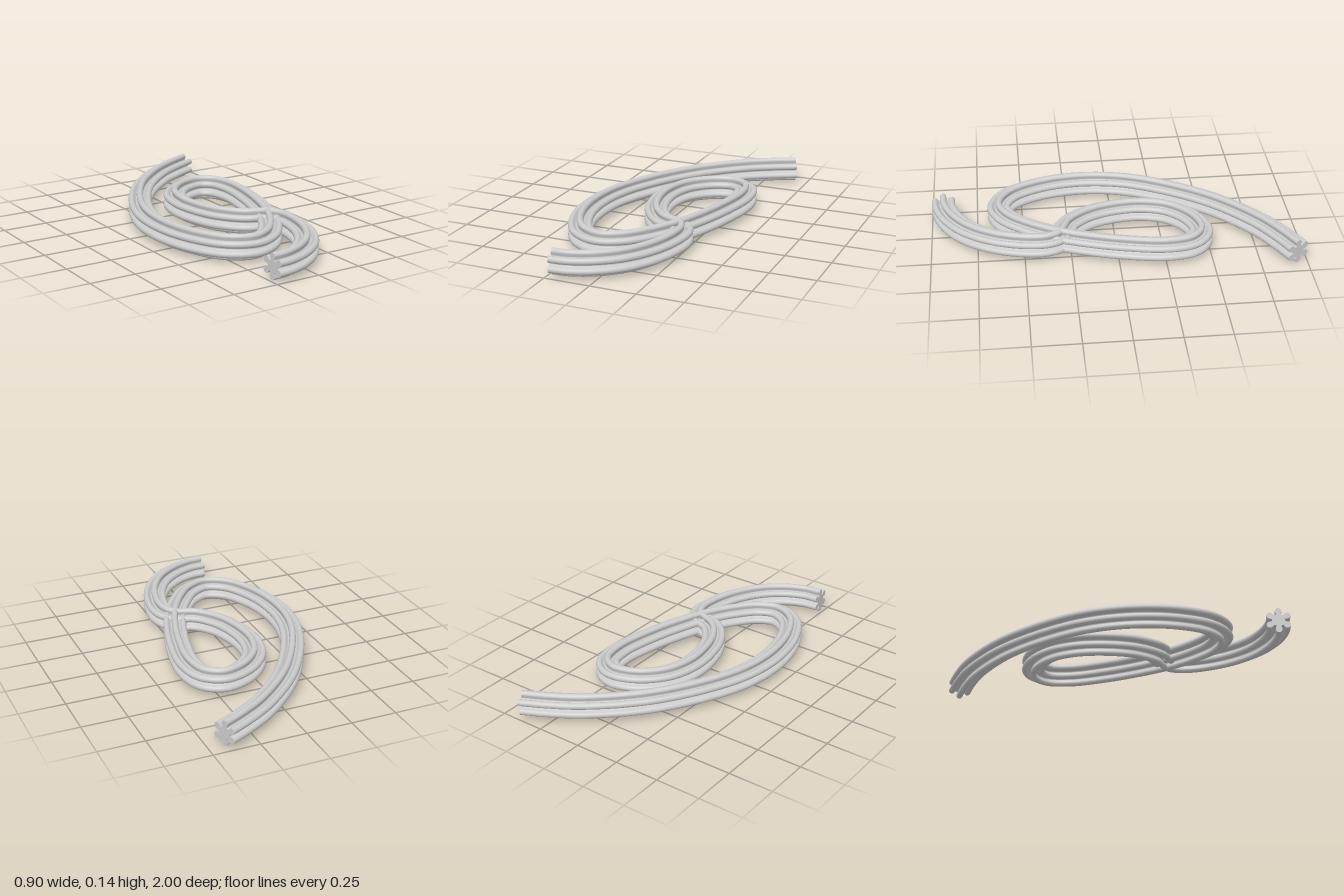
import * as THREE from 'three';

const MID = 0.071; // height of the centreline

// Centreline on the ground plane as [x, z]
const PATH = [
  [-0.235, 0.936], [-0.15, 0.928], [-0.04, 0.885], [0.08, 0.79], [0.175, 0.64], [0.222, 0.47],
  [0.22, 0.37], [0.185, 0.305], [0.13, 0.28], [0.07, 0.252], [-0.02, 0.14], [-0.07, -0.02],
  [-0.075, -0.17], [-0.03, -0.31], [0.08, -0.42], [0.21, -0.456], [0.295, -0.4], [0.325, -0.26],
  [0.29, -0.03], [0.225, 0.19], [0.165, 0.335], [0.08, 0.475], [-0.02, 0.585], [-0.13, 0.628],
  [-0.25, 0.57], [-0.345, 0.4], [-0.385, 0.18], [-0.362, -0.05], [-0.27, -0.285], [-0.09, -0.565],
  [0.14, -0.785], [0.29, -0.88], [0.418, -0.945],
];

// Six-lobed outline: round lobes alternating with round grooves
function lobedProfile() {
  const points = [];
  const arc = (dir, dist, radius, from, to, steps) => {
    for (let i = 0; i <= steps; i++) {
      const a = dir + from + ((to - from) * i) / steps;
      points.push([
        Math.cos(dir) * dist + Math.cos(a) * radius,
        Math.sin(dir) * dist + Math.sin(a) * radius,
      ]);
    }
  };
  for (let k = 0; k < 6; k++) {
    const dir = Math.PI / 6 + (k * Math.PI) / 3;
    arc(dir, 0.053, 0.018, -1.7, 1.7, 9);
    arc(dir + Math.PI / 6, 0.0425, 0.009, Math.PI + 1.2, Math.PI - 1.2, 4);
  }
  return points;
}

// Place the outline across the path at u (0..1)
function ringAt(curve, u, profile) {
  const c = curve.getPointAt(u);
  const t = curve.getTangentAt(u);
  const side = new THREE.Vector3(0, 1, 0).cross(t).normalize();
  return profile.map(([a, b]) => [c.x + side.x * a, c.y + b, c.z + side.z * a]);
}

function indexedGeometry(positions, index) {
  const g = new THREE.BufferGeometry();
  g.setAttribute('position', new THREE.Float32BufferAttribute(positions, 3));
  g.setIndex(index);
  g.computeVertexNormals();
  return g;
}

function sweep(curve, profile, segments) {
  const n = profile.length;
  const positions = [];
  const index = [];
  for (let i = 0; i <= segments; i++) {
    positions.push(...ringAt(curve, i / segments, profile).flat());
    if (i === segments) break;
    for (let j = 0; j < n; j++) {
      const a = i * n + j;
      const b = i * n + ((j + 1) % n);
      index.push(a, b, a + n, b, b + n, a + n);
    }
  }
  return indexedGeometry(positions, index);
}

function endCap(curve, profile, u) {
  const n = profile.length;
  const positions = [...curve.getPointAt(u).toArray(), ...ringAt(curve, u, profile).flat()];
  const index = [];
  for (let j = 0; j < n; j++) {
    const a = 1 + j;
    const b = 1 + ((j + 1) % n);
    if (u > 0.5) index.push(0, a, b);
    else index.push(0, b, a);
  }
  return indexedGeometry(positions, index);
}

export function createModel() {
  const group = new THREE.Group();
  group.name = 'loopedStrand';
  const material = new THREE.MeshStandardMaterial({ color: 0xcccccc });
  const curve = new THREE.CatmullRomCurve3(
    PATH.map(([x, z]) => new THREE.Vector3(x, MID, z)), false, 'centripetal');
  curve.arcLengthDivisions = 1000;
  const profile = lobedProfile();

  const add = (name, geometry) => {
    const mesh = new THREE.Mesh(geometry, material);
    mesh.name = name;
    group.add(mesh);
  };
  add('flutedStrand', sweep(curve, profile, 320));
  add('frontEndCap', endCap(curve, profile, 0));
  add('backEndCap', endCap(curve, profile, 1));
  return group;
}
